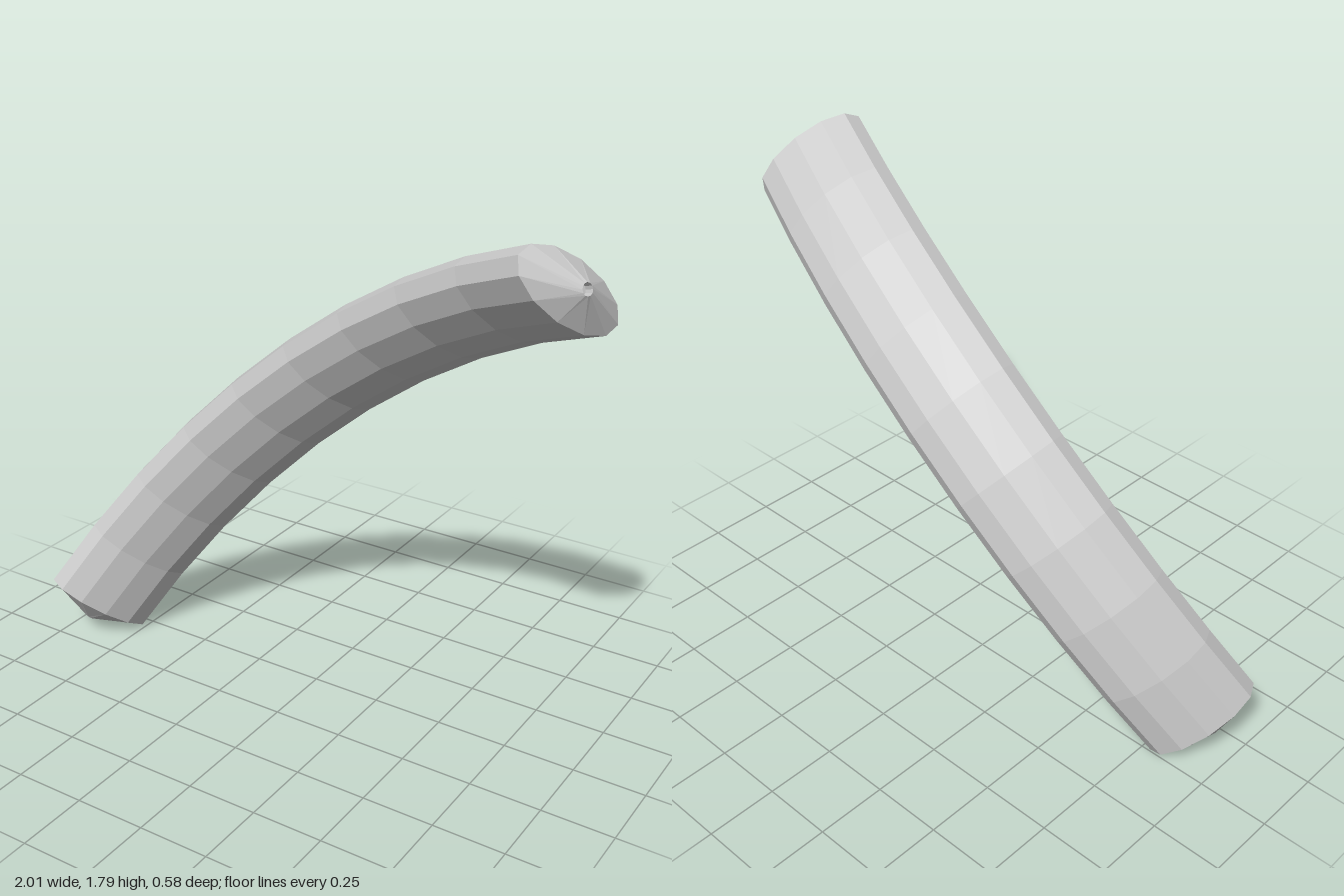
import * as THREE from 'three';

const SIDES = 12, SEGMENTS = 9;
const WIDE = 0.21, THIN = 0.1;       // half-axes of the oval section
const TIP = 0.075, LIP = 0.02, PIT = 0.03; // cone height, hole radius, hole depth

// Circular arc through both end centres, bulging by SAG towards "out"
const start = new THREE.Vector3(-0.88, 0.12, 0.145);
const end = new THREE.Vector3(0.9, 1.64, 0.085);
const SAG = 0.325;
const chord = end.clone().sub(start);
const half = chord.length() / 2;
const along = chord.clone().normalize();
const out = new THREE.Vector3(-0.13, 0.17, -0.245);
out.addScaledVector(along, -out.dot(along)).normalize();
const side = along.clone().cross(out).normalize();
const radius = (half * half + SAG * SAG) / (2 * SAG);
const spread = Math.asin(half / radius);
const centre = start.clone().add(end).multiplyScalar(0.5).addScaledVector(out, SAG - radius);

// Oval ring at arc position t (0..1), shifted along the tangent
function ring(t, shift, thin, wide) {
  const a = (2 * t - 1) * spread;
  const radial = out.clone().multiplyScalar(Math.cos(a)).addScaledVector(along, Math.sin(a));
  const tangent = along.clone().multiplyScalar(Math.cos(a)).addScaledVector(out, -Math.sin(a));
  const mid = centre.clone().addScaledVector(radial, radius).addScaledVector(tangent, shift);
  return Array.from({ length: SIDES }, (_, j) => {
    const b = (j / SIDES) * Math.PI * 2;
    return mid.clone().addScaledVector(radial, thin * Math.cos(b)).addScaledVector(side, wide * Math.sin(b));
  });
}

// Faceted skin over a list of rings
function loft(name, rings, material) {
  const points = [];
  for (let i = 0; i < rings.length - 1; i++) {
    for (let j = 0; j < SIDES; j++) {
      const k = (j + 1) % SIDES;
      const a = rings[i][j], b = rings[i][k], c = rings[i + 1][k], d = rings[i + 1][j];
      if (a.distanceTo(b) > 1e-6) points.push(a, b, c);
      if (c.distanceTo(d) > 1e-6) points.push(a, c, d);
    }
  }
  const geometry = new THREE.BufferGeometry().setFromPoints(points);
  geometry.computeVertexNormals();
  const mesh = new THREE.Mesh(geometry, material);
  mesh.name = name;
  return mesh;
}

export function createModel() {
  const group = new THREE.Group();
  group.name = 'curvedBar';
  const material = new THREE.MeshStandardMaterial({ color: 0xcccccc, flatShading: true });

  // Curved oval body
  const body = Array.from({ length: SEGMENTS + 1 }, (_, i) => ring(i / SEGMENTS, 0, THIN, WIDE));
  group.add(loft('body', body, material));

  // Shallow conical ends, each with a small pit at the tip
  for (const [name, t, s] of [['lowerEnd', 0, -1], ['upperEnd', 1, 1]]) {
    const rings = [
      ring(t, 0, THIN, WIDE),
      ring(t, s * TIP, LIP, LIP),
      ring(t, s * (TIP - PIT), LIP, LIP),
      ring(t, s * (TIP - PIT), 0, 0),
    ];
    group.add(loft(name, s < 0 ? rings.reverse() : rings, material));
  }
  return group;
}
